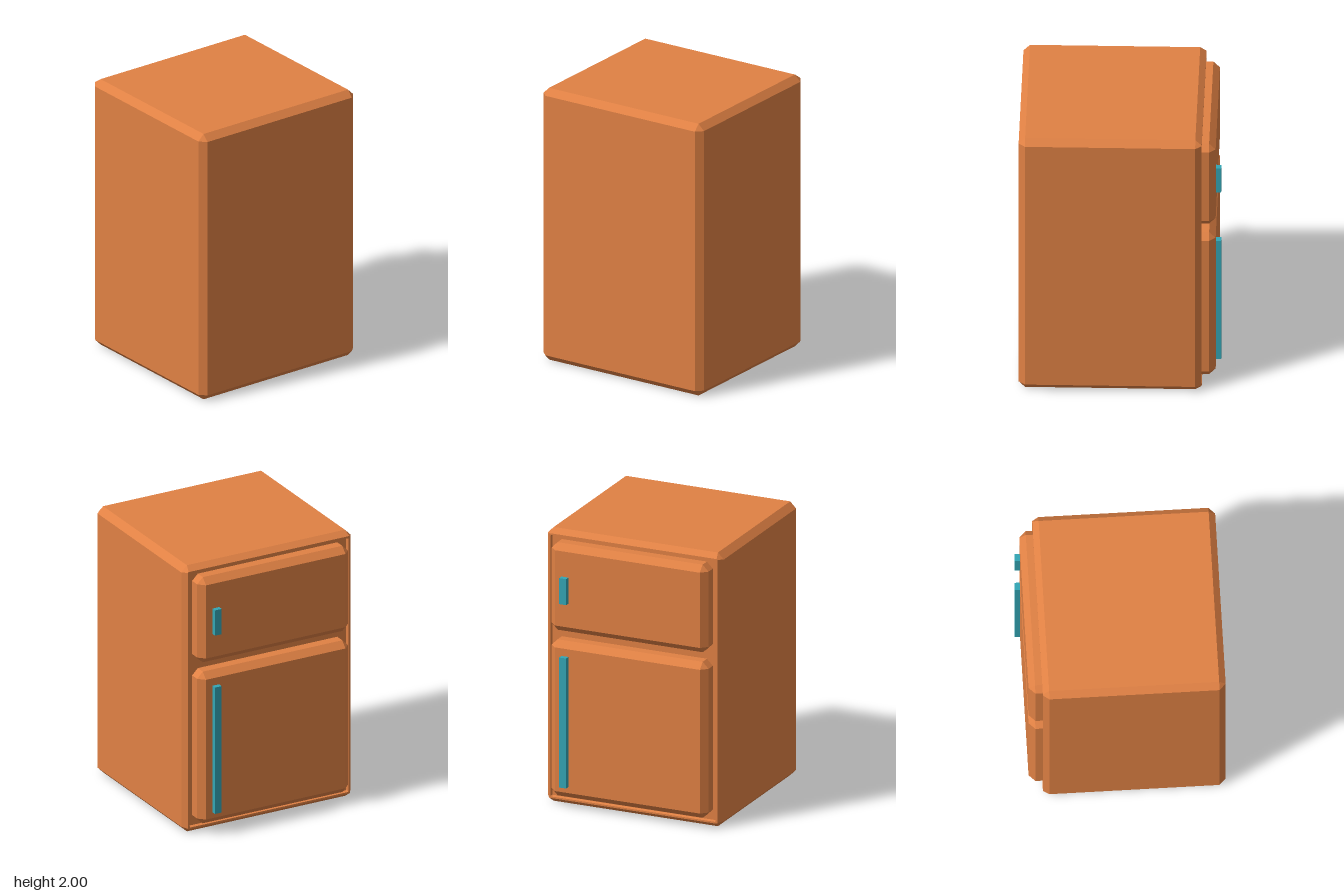
import * as THREE from 'three';

const orange = new THREE.MeshStandardMaterial({ color: 0xe08144, flatShading: true });
const teal = new THREE.MeshStandardMaterial({ color: 0x33a6b5, flatShading: true });

// Rectangle outline with cut corners, counter-clockwise seen from +z
function outline([z, w, h, cut]) {
  const a = w - cut, b = h - cut;
  return [[w, -b], [w, b], [a, h], [-a, h], [-w, b], [-w, -b], [-a, -h], [a, -h]]
    .map(([x, y]) => new THREE.Vector3(x, y, z));
}

// Skin through outlines ordered front to back, with flat end caps
function loft(rings) {
  const loops = rings.map(outline);
  const pos = [];
  const tri = (a, b, c) => {
    const area = b.clone().sub(a).cross(c.clone().sub(a)).length();
    if (area > 1e-9) for (const p of [a, b, c]) pos.push(p.x, p.y, p.z);
  };
  for (let r = 0; r < loops.length - 1; r++) {
    const f = loops[r], k = loops[r + 1];
    for (let i = 0; i < 8; i++) {
      const j = (i + 1) % 8;
      tri(f[i], k[i], k[j]);
      tri(f[i], k[j], f[j]);
    }
  }
  const first = loops[0], last = loops[loops.length - 1];
  for (let i = 1; i < 7; i++) {
    tri(first[0], first[i], first[i + 1]);
    tri(last[0], last[i + 1], last[i]);
  }
  const geo = new THREE.BufferGeometry();
  geo.setAttribute('position', new THREE.Float32BufferAttribute(pos, 3));
  geo.computeVertexNormals();
  return geo;
}

export function createModel() {
  const model = new THREE.Group();
  const add = (name, geo, material, x, y, z) => {
    const mesh = new THREE.Mesh(geo, material);
    mesh.name = name;
    mesh.position.set(x, y, z);
    model.add(mesh);
  };
  const c = 0.045;

  // Cabinet: bevelled box with a thin rim around a shallow recess on the door side
  add('cabinet', loft([
    [0.697, 0.67 - c, 1 - c, 0],
    [0.697 - c, 0.67, 1, c],
    [-0.522, 0.67, 1, c],
    [-0.566, 0.641, 0.967, 0.005],
    [-0.566, 0.628, 0.955, 0.005],
    [-0.545, 0.622, 0.949, 0.005],
  ]), orange, 0, 1, 0);

  // Doors, each with its handle: [name, bottom, top, handle bottom, handle top]
  for (const [name, y0, y1, h0, h1] of [
    ['freezerDoor', 1.29, 1.93, 1.51, 1.7],
    ['fridgeDoor', 0.08, 1.22, 0.17, 1.12],
  ]) {
    const h = (y1 - y0) / 2;
    add(name, loft([
      [-0.5, 0.597, h, c],
      [-0.66 + c, 0.597, h, c],
      [-0.66, 0.597 - c, h - c, 0],
    ]), orange, 0, (y0 + y1) / 2, 0);
    add(name + 'Handle', new THREE.BoxGeometry(0.053, h1 - h0, 0.06), teal, 0.475, (h0 + h1) / 2, -0.667);
  }
  return model;
}
